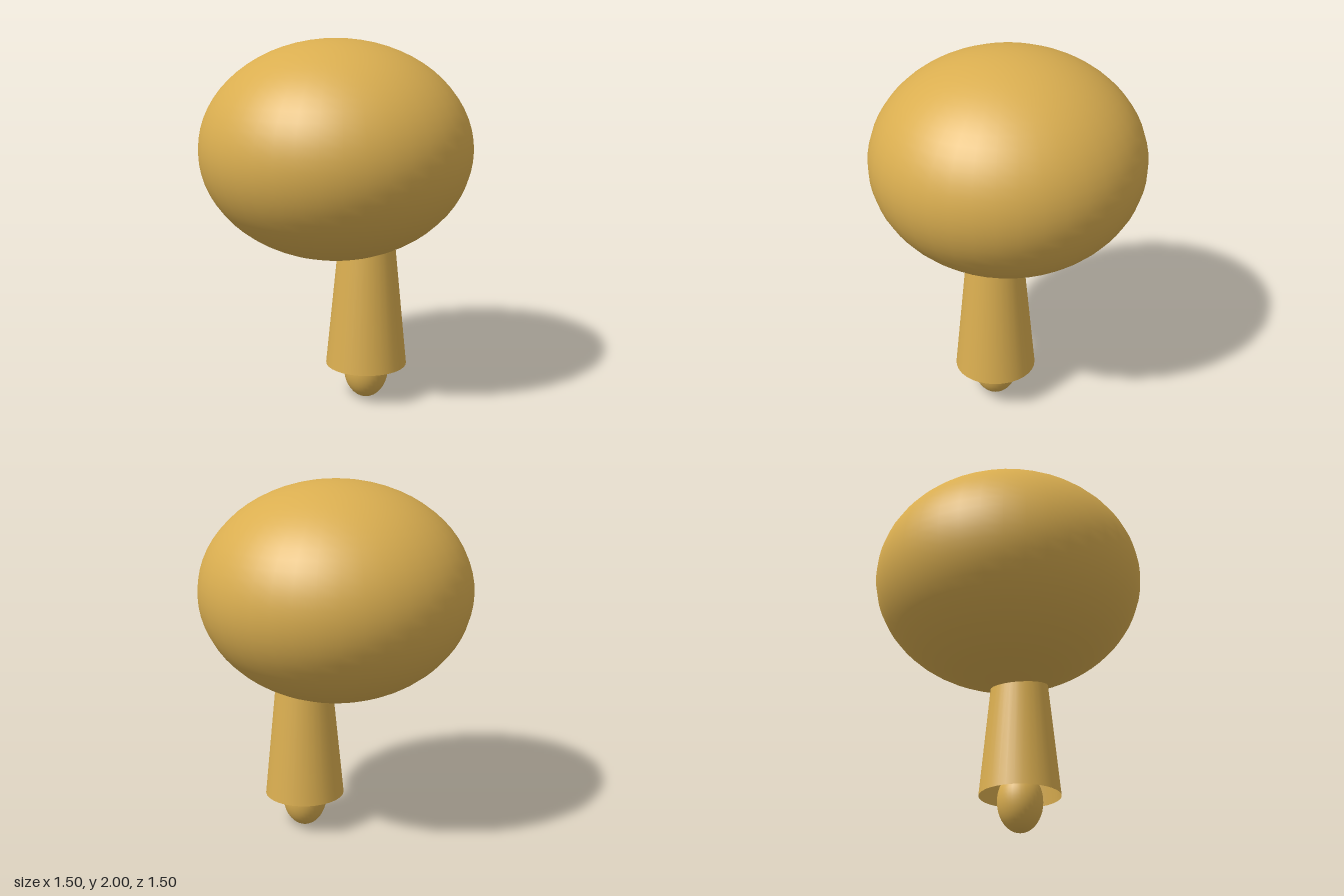
import * as THREE from 'three';

export function createModel() {
  const model = new THREE.Group();
  const gold = new THREE.MeshStandardMaterial({ color: 0xdaae50, side: THREE.DoubleSide });
  gold.name = 'gold';

  const add = (name, geometry, x, y) => {
    const mesh = new THREE.Mesh(geometry, gold);
    mesh.name = name;
    mesh.position.set(x, y, 0);
    model.add(mesh);
  };

  const stemX = 0.187;

  // Large flattened ball on top
  add('head', new THREE.SphereGeometry(0.75, 40, 32).scale(1, 0.8, 1), 0, 1.4);

  // Off-centre flared tube, open at the bottom, its top sunk into the head
  add('stem', new THREE.CylinderGeometry(0.15, 0.225, 0.75, 32, 1, true), stemX, 0.575);

  // Egg-shaped tip hanging out of the tube
  add('tip', new THREE.SphereGeometry(0.125, 32, 20).scale(1, 1.35, 1), stemX, 0.169);

  return model;
}
